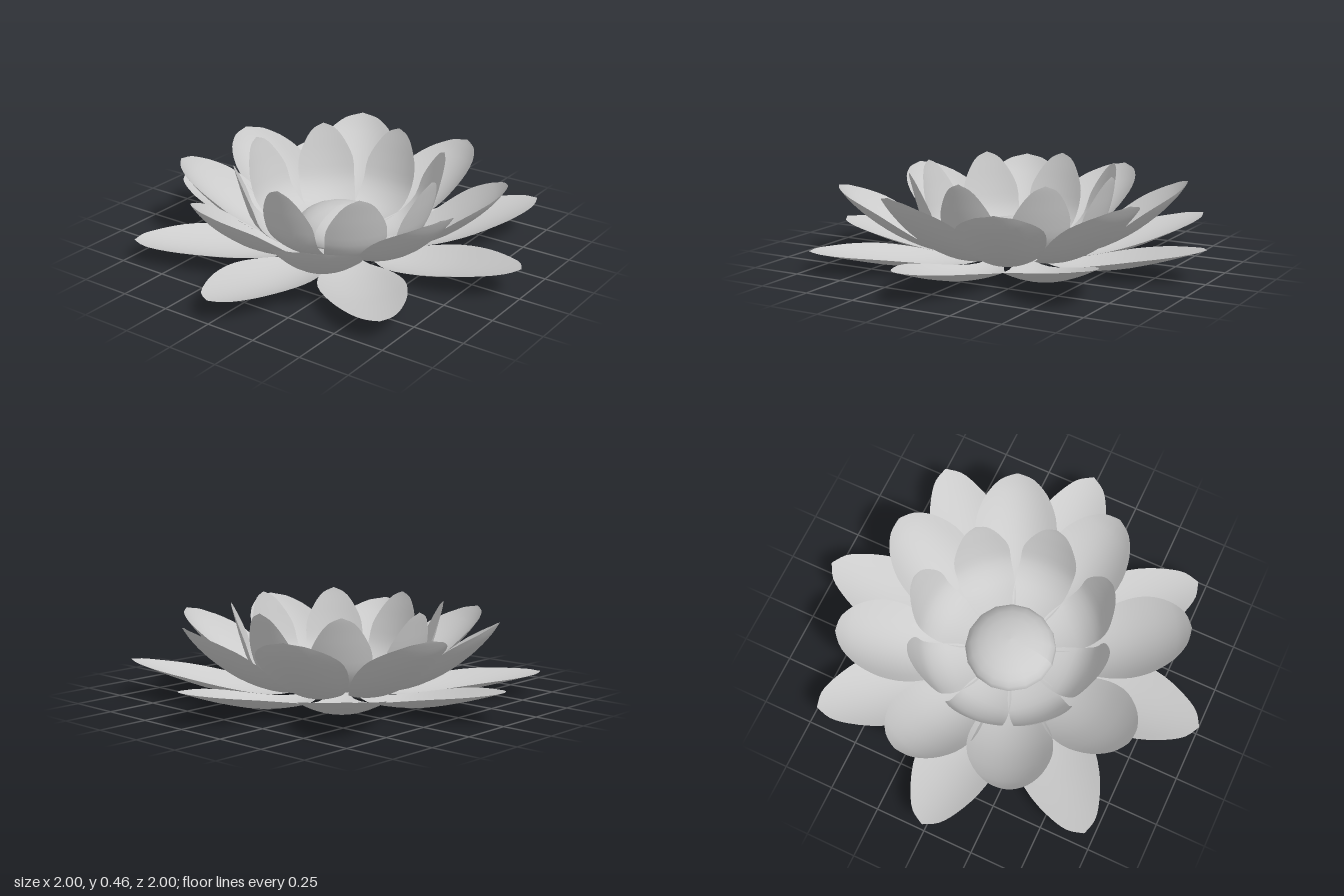
import * as THREE from 'three';

const petalMaterial = new THREE.MeshStandardMaterial({ color: 0xcccccc, side: THREE.DoubleSide });

// Each spine point is [distance from centre, height, half width]; petals list [degrees, reach, tip height].
// Cup is the edge lift per squared distance from the spine.
const rings = [
  {
    name: 'outerPetal', cup: 1.4,
    spine: [[0.1, 0.045, 0.035], [0.22, 0.018, 0.07], [0.38, 0.005, 0.16], [0.58, 0.028, 0.2], [0.76, 0.075, 0.175],
      [0.89, 0.117, 0.12], [0.96, 0.142, 0.07], [1, 0.157, 0.002]],
    petals: [[0, 1, 0.165], [45, 1, 0.185], [90, 1, 0.155], [135, 1, 0.11],
      [180, 1, 0.12], [225, 1, 0.11], [270, 1, 0.155], [315, 1, 0.185]],
  },
  {
    name: 'middlePetal', cup: 2,
    spine: [[0.1, 0.05, 0.035], [0.22, 0.035, 0.07], [0.37, 0.058, 0.15], [0.53, 0.13, 0.2], [0.66, 0.225, 0.198],
      [0.745, 0.31, 0.15], [0.785, 0.365, 0.085], [0.8, 0.39, 0.003]],
    petals: [[20.5, 0.79, 0.39], [67, 0.81, 0.39], [109, 0.76, 0.41], [155, 0.86, 0.365],
      [202, 0.79, 0.39], [246, 0.8, 0.4], [287, 0.81, 0.39], [333, 0.84, 0.4]],
  },
  {
    name: 'innerPetal', cup: 1.3,
    spine: [[0.1, 0.055, 0.04], [0.24, 0.062, 0.11], [0.345, 0.092, 0.135], [0.425, 0.17, 0.143], [0.465, 0.28, 0.142],
      [0.49, 0.375, 0.102], [0.505, 0.435, 0.055], [0.51, 0.46, 0.002]],
    petals: [0, 45, 90, 135, 180, 225, 270, 315].map((a) => [a, a === 0 ? 0.52 : a === 180 ? 0.49 : 0.515, 0.46]),
  },
];

// Cupped petal swept outward along +x: the spine curve carries width in its third coordinate
function petalGeometry(spine, cup, reach, tipHeight, rows = 21, cols = 10) {
  const [endR, endY] = spine[spine.length - 1];
  const curve = new THREE.CatmullRomCurve3(spine.map(([r, y, w]) =>
    new THREE.Vector3(r * reach / endR, y * tipHeight / endY, w)));
  const positions = [], indices = [];
  for (let i = 0; i <= rows; i++) {
    const p = curve.getPoint(i / rows);
    const t = curve.getTangent(i / rows);
    const slope = Math.hypot(t.x, t.y);
    for (let j = 0; j <= cols; j++) {
      const side = p.z * (2 * j / cols - 1);
      const lift = cup * side * side;
      positions.push(p.x - lift * t.y / slope, p.y + lift * t.x / slope, side);
      if (i < rows && j < cols) {
        const a = i * (cols + 1) + j, b = a + cols + 1;
        indices.push(a, a + 1, b, b, a + 1, b + 1);
      }
    }
  }
  const geometry = new THREE.BufferGeometry();
  geometry.setAttribute('position', new THREE.Float32BufferAttribute(positions, 3));
  geometry.setIndex(indices);
  geometry.computeVertexNormals();
  return geometry;
}

export function createModel() {
  const flower = new THREE.Group();
  flower.name = 'flower';

  // Three whorls of petals, flat outside and steep inside
  for (const { name, cup, spine, petals } of rings) {
    const whorl = new THREE.Group();
    whorl.name = name + 'Ring';
    for (const [degrees, reach, tipHeight] of petals) {
      const petal = new THREE.Mesh(petalGeometry(spine, cup, reach, tipHeight), petalMaterial);
      petal.name = name;
      petal.rotation.y = -THREE.MathUtils.degToRad(degrees);
      whorl.add(petal);
    }
    flower.add(whorl);
  }

  // Domed seed head with a shallow underside
  const dome = new THREE.SphereGeometry(0.227, 16, 12);
  const pos = dome.attributes.position;
  for (let i = 0; i < pos.count; i++) pos.setY(i, pos.getY(i) * (pos.getY(i) > 0 ? 0.58 : 0.22));
  dome.computeVertexNormals();
  const seedHead = new THREE.Mesh(dome, new THREE.MeshStandardMaterial({ color: 0xcccccc }));
  seedHead.name = 'seedHead';
  seedHead.position.set(0.005, 0.085, -0.005);
  flower.add(seedHead);

  return flower;
}
